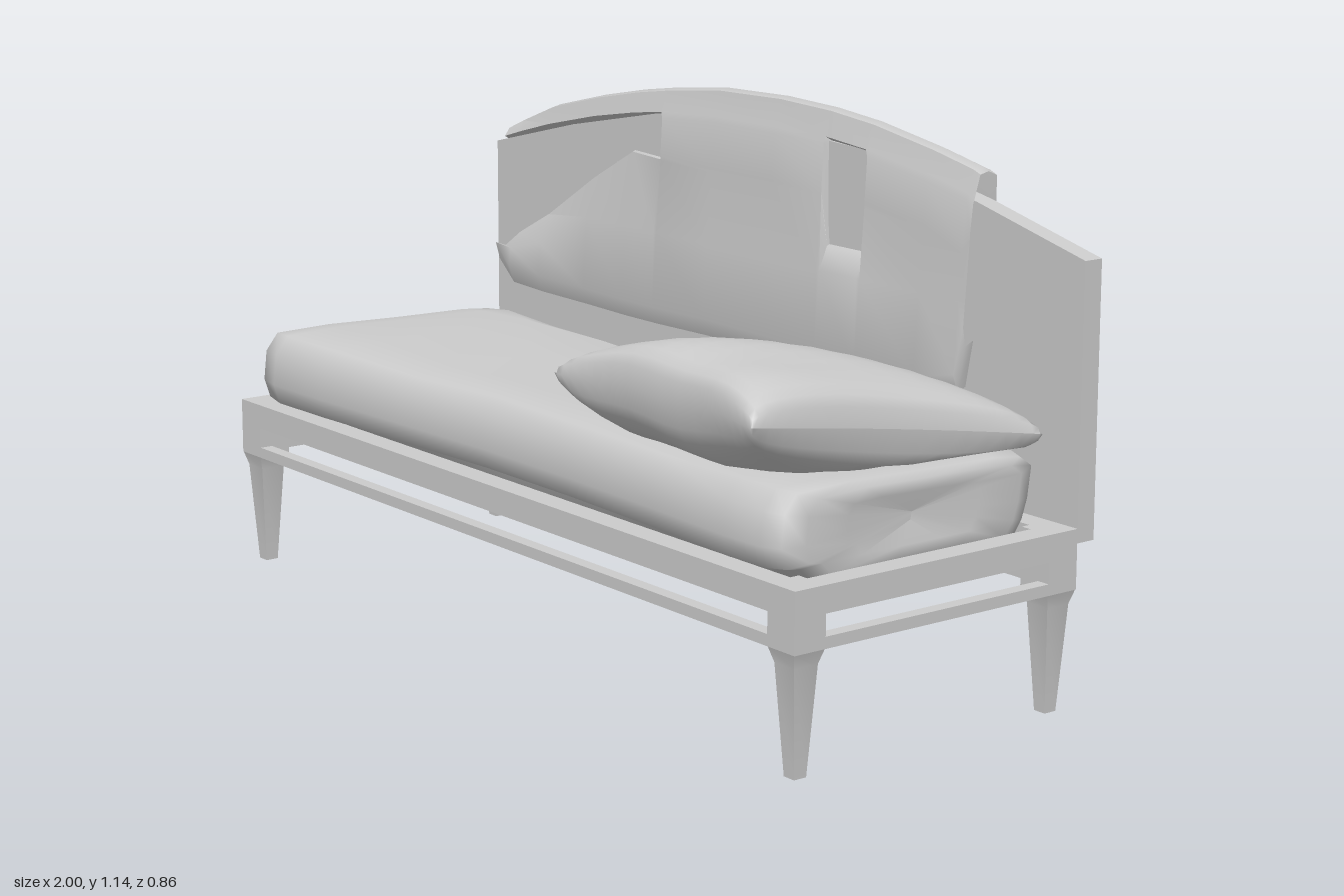
import * as THREE from 'three';
import { toCreasedNormals } from 'three/addons/utils/BufferGeometryUtils.js';

const grey = new THREE.MeshStandardMaterial({ color: 0xcccccc, side: THREE.DoubleSide });
grey.name = 'light grey';

function add(group, name, geometry, x = 0, y = 0, z = 0) {
  const mesh = new THREE.Mesh(geometry, grey);
  mesh.name = name;
  mesh.position.set(x, y, z);
  group.add(mesh);
}

function box(group, name, w, h, d, x, y, z) {
  add(group, name, new THREE.BoxGeometry(w, h, d), x, y, z);
}

// Skin over cross-sections; each section is a list of [x, y, z]
function loft(sections, closed) {
  const n = sections[0].length, index = [];
  for (let i = 0; i < sections.length - 1; i++) {
    for (let j = 0; j < (closed ? n : n - 1); j++) {
      const k = (j + 1) % n;
      const a = i * n + j, b = a + n, c = (i + 1) * n + k, d = i * n + k;
      index.push(a, b, d, b, c, d);
    }
  }
  const g = new THREE.BufferGeometry();
  g.setAttribute('position', new THREE.Float32BufferAttribute(sections.flat(2), 3));
  g.setIndex(index);
  g.computeVertexNormals();
  return g;
}

// Corner posts, tapered square legs and double rails
function buildFrame() {
  const frame = new THREE.Group();
  frame.name = 'frame';
  const profile = [[0, 0], [0.015, 0], [0.029, 0.225], [0.038, 0.255], [0, 0.255]]
    .map(([r, y]) => new THREE.Vector2(r * Math.SQRT2, y));
  const leg = toCreasedNormals(new THREE.LatheGeometry(profile, 4, Math.PI / 4), 0.3);
  for (const x of [-0.96, 0.96]) {
    for (const z of [-0.287, 0.367]) {
      add(frame, 'leg', leg, x, 0, z);
      box(frame, 'cornerPost', 0.08, 0.125, 0.076, x, 0.3175, z);
    }
  }
  for (const [name, y, h, t] of [['upperRail', 0.352, 0.056, 0.055], ['lowerRail', 0.267, 0.024, 0.03]]) {
    box(frame, name, 1.84, h, t, 0, y, 0.405 - t / 2);
    box(frame, name, 1.84, h, t, 0, y, -0.325 + t / 2);
    for (const s of [-1, 1]) box(frame, name, t, h, 0.58, s * (1 - t / 2), y, 0.04);
  }
  return frame;
}

// Upright board with a gently peaked top
function buildBackboard() {
  const shape = new THREE.Shape();
  shape.moveTo(-1, 0.35);
  for (const [x, y] of [[1, 0.35], [1, 0.92], [0.69, 0.995], [0.35, 1.06], [0, 1.075],
    [-0.35, 1.06], [-0.69, 0.995], [-1, 0.92]]) shape.lineTo(x, y);
  return new THREE.ExtrudeGeometry(shape, { depth: 0.045, bevelEnabled: false });
}

// Seat pad: soft loop in z-y, swept along x, sagging between the rails
function buildSeat() {
  const loop = [[0.375, 0.385], [0.39, 0.43], [0.382, 0.5], [0.35, 0.535], [0.2, 0.54], [0, 0.538],
    [-0.2, 0.537], [-0.275, 0.53], [-0.31, 0.5], [-0.3, 0.43], [-0.285, 0.385],
    [-0.255, 0.36], [-0.1, 0.36], [0.1, 0.36], [0.3, 0.36], [0.34, 0.38]];
  const stations = [[-0.955, 0], [-0.97, 0.5], [-0.975, 0.82], [-0.955, 0.95], [-0.89, 1], [-0.7, 1.01],
    [-0.4, 1], [-0.1, 0.98], [0.2, 0.98], [0.5, 0.99], [0.75, 1], [0.86, 0.98], [0.905, 0.93],
    [0.925, 0.8], [0.92, 0.5], [0.91, 0]];
  const cz = 0.04, cy = 0.455;
  return loft(stations.map(([x, s]) => loop.map(([z, y]) => {
    const sag = y < 0.37 ? 0.075 * Math.max(0, 1 - ((x - 0.15) / 0.85) ** 2) : 0;
    const crease = y > 0.5 ? 0.005 * Math.sin(x * 7 + z * 5) : 0;
    // front edge bows inwards; rear edge slumps behind the back pad
    const inset = z > 0.33 ? 0.03 * Math.max(0, 1 - x * x) : 0;
    const slump = z < -0.25 && y > 0.49 ? 0.035 * Math.max(0, 1 - ((x + 0.3) / 0.55) ** 2) : 0;
    return [x, cy + (y - cy) * s - sag + crease * s - slump, cz + (z - cz) * s - inset];
  })), true);
}

// Throw pillow: plump, with pinched edges, four pulled-out corners and a raised front
function buildPillow() {
  const sections = [], across = 18, around = 36;
  for (let i = 0; i <= across; i++) {
    const u = -Math.cos(i / across * Math.PI), full = Math.sqrt(Math.max(0, 1 - u * u));
    const front = 0.395 + 0.035 * u - 0.03 * full * full;
    const back = -0.265 - 0.025 * u + 0.015 * full * full;
    const row = [];
    for (let j = 0; j < around; j++) {
      const t = j / around * Math.PI * 2, v = Math.cos(t), s = Math.sin(t);
      const lift = Math.sign(s) * (Math.abs(s) * full) ** 0.65;
      const left = 0.205 - 0.025 * v + 0.06 * (1 - v * v);
      const right = 0.915 - 0.015 * v - 0.025 * (1 - v * v);
      const y = 0.605 + 0.055 * v + 0.015 * u + lift * (lift > 0 ? 0.125 + 0.015 * v : 0.15)
        + 0.006 * full * Math.sin(u * 6 + v * 4);
      row.push([left + (right - left) * (u + 1) / 2, Math.max(0.537, y), back + (front - back) * (v + 1) / 2]);
    }
    sections.push(row);
  }
  return loft(sections, true);
}

// Draped back pad: x, top, bottom, visible front edge, sunk into board, flap hem y and z
function buildBackPad() {
  const stations = [
    [-0.96, 0.96, 0.64, 0.68, 1, 0.88, -0.382], [-0.9, 0.985, 0.59, 0.72, 1, 0.78, -0.39],
    [-0.78, 1.03, 0.585, 0.78, 1, 0.8, -0.395], [-0.6, 1.072, 0.583, 0.89, 1, 0.83, -0.395],
    [-0.45, 1.1, 0.58, 0.97, 1, 0.85, -0.4], [-0.345, 1.115, 0.58, 0.965, 1, 0.88, -0.405],
    [-0.335, 1.116, 0.58, 0.965, 0, 0.88, -0.405], [-0.15, 1.136, 0.583, 0.96, 0, 0.93, -0.41],
    [0.06, 1.14, 0.58, 0.96, 0, 0.93, -0.43], [0.225, 1.133, 0.577, 0.96, 0, 0.84, -0.4],
    [0.235, 1.132, 0.577, 0.85, 1, 0.83, -0.4], [0.355, 1.12, 0.575, 0.85, 1, 0.82, -0.395],
    [0.365, 1.119, 0.575, 0.95, 0, 0.82, -0.395], [0.55, 1.088, 0.575, 0.93, 0, 0.82, -0.39],
    [0.67, 1.063, 0.6, 0.9, 0, 0.83, -0.385], [0.69, 1.055, 0.7, 0.93, 0, 0.86, -0.38]];
  return loft(stations.map(([x, top, bottom, edge, sunk, hemY, hemZ]) => {
    const board = Math.min(1.072, 1.078 - 0.158 * x * x);
    const low = Math.min(bottom + 0.04, edge);
    const mid = edge > 0.84 ? 0.79 : (low + edge) / 2;
    const face = y => -0.285 - 0.07 * Math.max(0, y - 0.62);
    return [[bottom + 0.01, -0.322], [bottom, -0.3], [low, face(low)], [mid, face(mid)],
      [edge - 0.01, sunk ? -0.318 : face(edge)], [edge, sunk ? -0.34 : face(edge)],
      [Math.min(board - 0.01, top - 0.03), sunk ? -0.34 : -0.314], [Math.min(board + 0.004, top - 0.02), -0.319],
      [top - 0.005, -0.332], [top, -0.355], [top - 0.01, -0.378],
      // rear flap hangs close to the board, then flares out at the hem
      [hemY + 0.35 * (top - hemY), -0.376 + 0.25 * (hemZ + 0.376)], [hemY, hemZ]].map(([y, z]) => [x, y, z]);
  }), false);
}

export function createModel() {
  const model = new THREE.Group();
  model.name = 'daybed';
  model.add(buildFrame());
  add(model, 'backboard', buildBackboard(), 0, 0, -0.37);
  add(model, 'seatCushion', buildSeat());
  add(model, 'backPad', toCreasedNormals(buildBackPad(), 0.9));
  add(model, 'pillow', buildPillow());
  return model;
}
